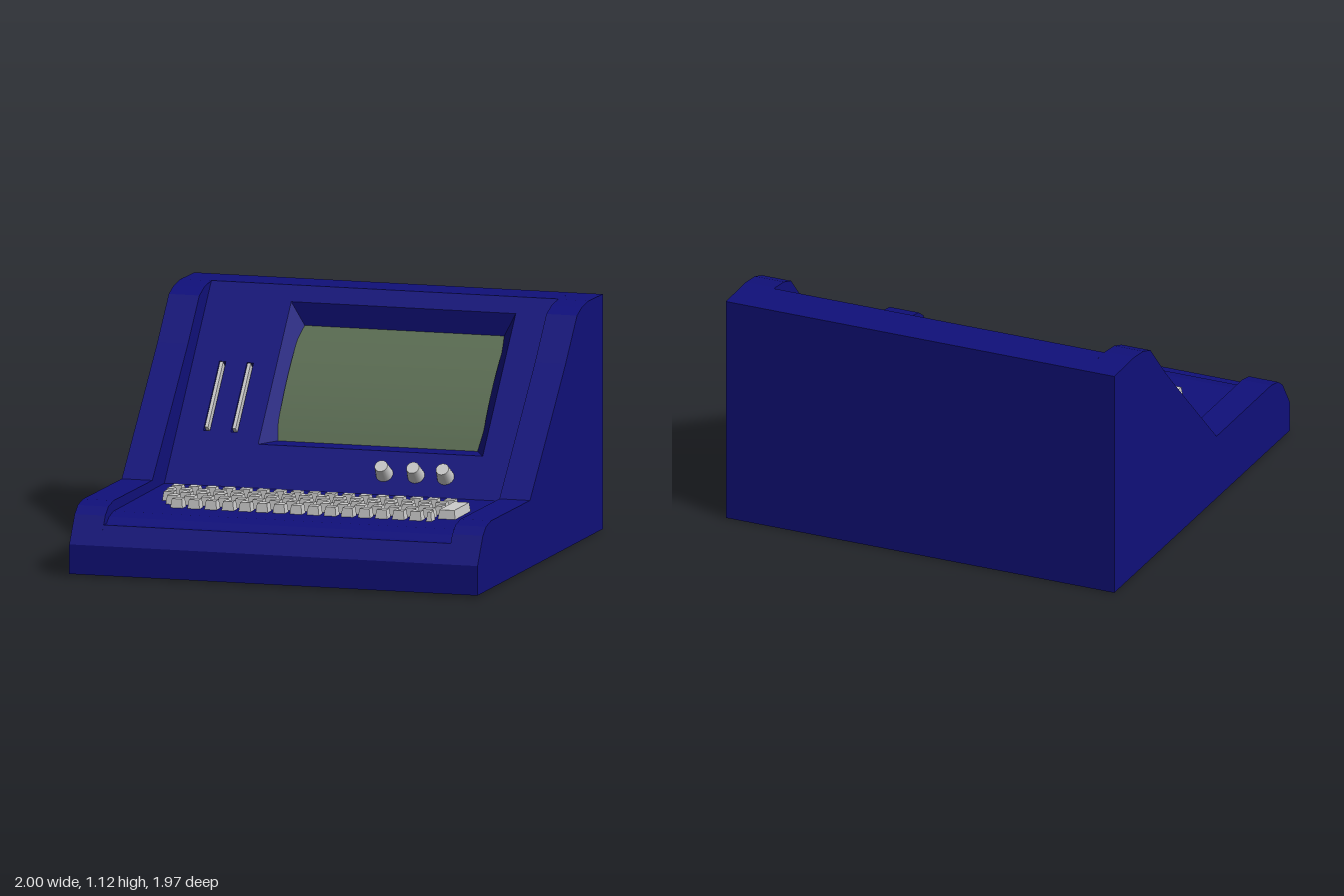
import * as THREE from 'three';
import { mergeGeometries } from 'three/addons/utils/BufferGeometryUtils.js';

const blue = new THREE.MeshStandardMaterial({ color: 0x10107a });
const grey = new THREE.MeshStandardMaterial({ color: 0xcccccc });
const green = new THREE.MeshStandardMaterial({ color: 0x5a6c52 });

function add(parent, name, geometry, material) {
  const mesh = new THREE.Mesh(geometry, material);
  mesh.name = name;
  parent.add(mesh);
  return mesh;
}

// Extrude a [z, y] side profile across x
function slab(profile, x0, x1) {
  const shape = new THREE.Shape(profile.map(([z, y]) => new THREE.Vector2(-z, y)));
  return new THREE.ExtrudeGeometry(shape, { depth: x1 - x0, bevelEnabled: false })
    .rotateY(Math.PI / 2).translate(x0, 0, 0);
}

const corners = ([x0, y0, x1, y1]) => [[x0, y0], [x1, y0], [x1, y1], [x0, y1]];

// Recess walls from an outer rectangle back to an inner one, with an optional floor
function recess(outer, inner, depth, floor) {
  const pos = [...corners(outer).map(p => [...p, 0]), ...corners(inner).map(p => [...p, -depth])].flat();
  const index = [];
  for (let i = 0; i < 4; i++) {
    const j = (i + 1) % 4;
    index.push(i, j, j + 4, i, j + 4, i + 4);
  }
  if (floor) index.push(4, 5, 6, 4, 6, 7);
  const g = new THREE.BufferGeometry();
  g.setAttribute('position', new THREE.Float32BufferAttribute(pos, 3));
  g.setIndex(index);
  const flat = g.toNonIndexed();
  flat.computeVertexNormals();
  return flat;
}

// Keycap: a box whose top is slightly smaller than its base
function keycap(x, z, w, d) {
  const g = new THREE.BoxGeometry(w, 0.045, d);
  const p = g.attributes.position;
  for (let i = 0; i < p.count; i++) {
    if (p.getY(i) > 0) {
      p.setX(i, p.getX(i) - Math.sign(p.getX(i)) * 0.006);
      p.setZ(i, p.getZ(i) - Math.sign(p.getZ(i)) * 0.006);
    }
  }
  g.computeVertexNormals();
  return g.translate(x, 0.3, z);
}

export function createModel() {
  const model = new THREE.Group();
  model.name = 'desktopTerminal';

  // Raised side cheeks
  const side = [[0.985, 0.01], [0.985, 0.15], [0.9, 0.28], [0.85, 0.315], [0.77, 0.33], [0.16, 0.325],
    [-0.2, 0.68], [-0.4, 0.88], [-0.58, 1.08], [-0.66, 1.108], [-0.76, 1.12], [-0.985, 1.115], [-0.985, 0]];
  add(model, 'rightCheek', slab(side, -1, -0.85), blue);
  add(model, 'leftCheek', slab(side, 0.85, 1), blue);

  // Centre body: front lip, keyboard deck, hollow behind the panel, top and back
  const centre = [[0.985, 0.01], [0.985, 0.15], [0.926, 0.24], [0.88, 0.24], [0.84, 0.265], [0.77, 0.28],
    [-0.03, 0.28], [-0.3, 0.28], [-0.77, 0.82], [-0.77, 1.12], [-0.985, 1.115], [-0.985, 0]];
  add(model, 'centreBody', slab(centre, -0.85, 0.85), blue);

  // Sloping control panel; local y runs up the slope, local z points out of it
  const panel = new THREE.Group();
  panel.name = 'controlPanel';
  panel.position.set(0, 0.28, -0.03);
  panel.rotation.x = -Math.atan2(0.74, 0.84);
  model.add(panel);

  const opening = [-0.44, 0.24, 0.66, 1.027];
  const slots = [-0.705, -0.57].map(x => [x - 0.016, 0.3, x + 0.016, 0.682]);
  const face = new THREE.Shape(corners([-0.85, 0, 0.85, 1.1195]).map(p => new THREE.Vector2(...p)));
  for (const hole of [opening, ...slots]) {
    face.holes.push(new THREE.Path(corners(hole).map(p => new THREE.Vector2(...p))));
  }
  add(panel, 'panelFace', new THREE.ShapeGeometry(face), blue);

  // Screen with a curved front, set in a tapering surround
  add(panel, 'screenSurround', recess(opening, [-0.375, 0.313, 0.6, 0.948], 0.08, false), blue);
  const glass = new THREE.PlaneGeometry(1.005, 0.65, 1, 16);
  const gp = glass.attributes.position;
  for (let i = 0; i < gp.count; i++) {
    const t = gp.getY(i) / 0.325;
    gp.setZ(i, 0.035 * (1 - t * t));
  }
  glass.computeVertexNormals();
  add(panel, 'screen', glass, green).position.set(0.1125, 0.63, -0.08);

  // Two narrow slots, each with a bar
  for (const s of slots) {
    add(panel, 'driveSlot', recess(s, s, 0.04, true), blue);
    add(panel, 'slotBar', new THREE.BoxGeometry(0.016, 0.362, 0.05), grey)
      .position.set((s[0] + s[2]) / 2, 0.491, -0.012);
  }

  // Tapered knobs
  for (const x of [0.205, 0.36, 0.505]) {
    add(panel, 'knob', new THREE.CylinderGeometry(0.031, 0.042, 0.08, 20).rotateX(Math.PI / 2), grey)
      .position.set(x, 0.113, 0.033);
  }

  // Keyboard rows: z, left edge of first full key, right limit
  const pitch = 0.0835, size = 0.06;
  const keys = [keycap(-0.711, 0.305, 0.042, size), keycap(0.703, 0.397, 0.085, 0.245)];
  const rows = [[0.222, -0.735, 0.665], [0.307, -0.668, 0.655], [0.393, -0.72, 0.655],
    [0.483, -0.675, 0.655], [0.57, -0.625, 0.655]];
  for (const [z, left, right] of rows) {
    for (let x = left; x < right - 0.025; x += pitch) {
      const w = Math.min(size, right - x);
      keys.push(keycap(x + w / 2, z, w, size));
    }
  }
  add(model, 'keyboardKeys', mergeGeometries(keys), grey);

  return model;
}
